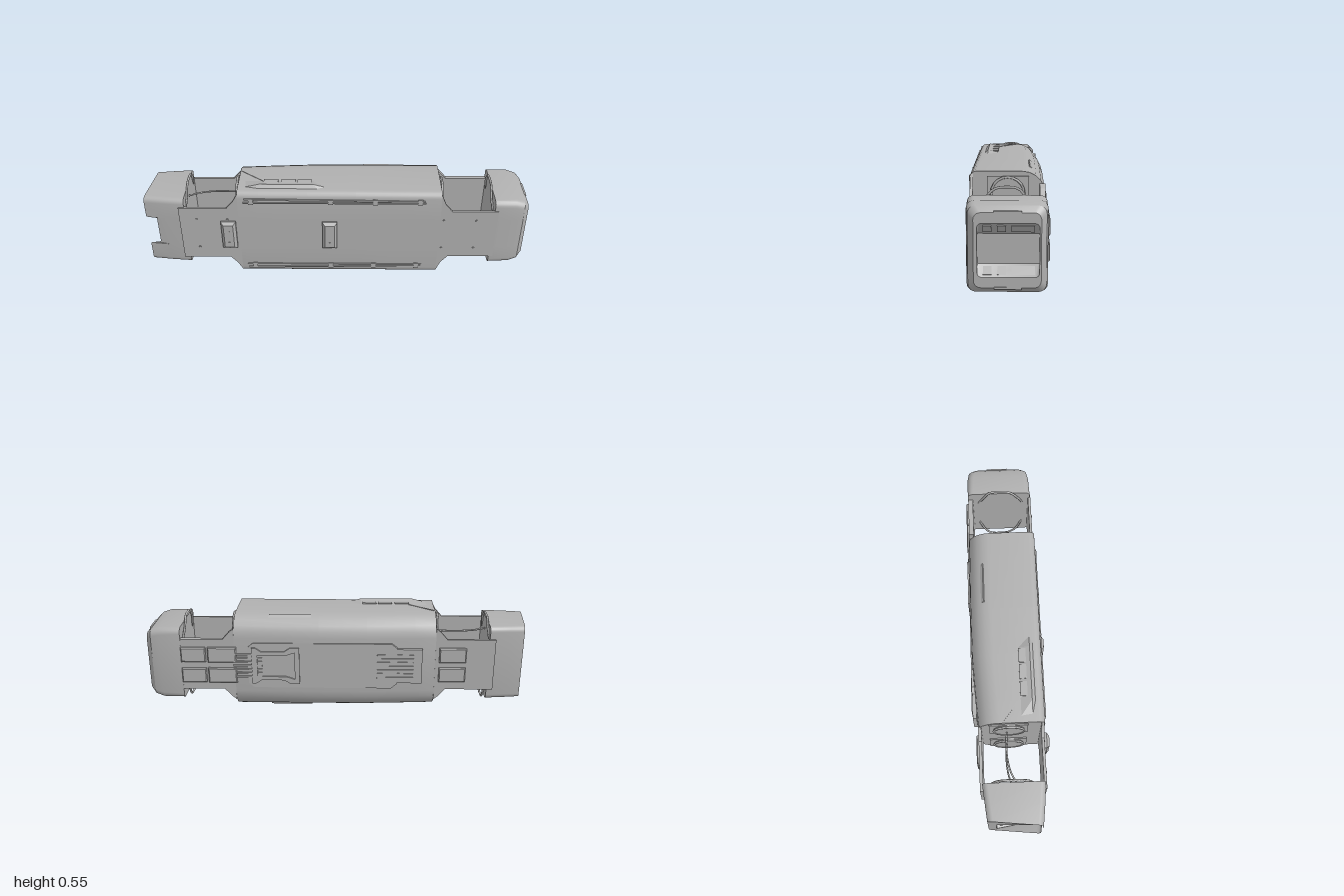
import * as THREE from 'three';
import { toCreasedNormals } from 'three/addons/utils/BufferGeometryUtils.js';

const grey = new THREE.MeshStandardMaterial({ color: 0xb0b0b0, side: THREE.DoubleSide });
grey.name = 'hull grey';
const MID = 0.274;

export function createModel() {
  const model = new THREE.Group();
  model.name = 'hull';
  model.position.y = MID;

  const add = (name, geometry, x = 0, y = 0, z = 0) => {
    const mesh = new THREE.Mesh(geometry, grey);
    mesh.name = name;
    mesh.position.set(x, y, z);
    model.add(mesh);
    return mesh;
  };
  const box = (name, w, h, d, x, y, z) => add(name, new THREE.BoxGeometry(w, h, d), x, y, z);

  // Rounded cross-section across the hull, with a split in its front edge
  const section = (x, h, zf, zb, rf, rb, split = 0.085) => {
    const pts = [];
    const corner = (cz, cy, r, a0) => {
      for (let i = 0; i <= 5; i++) {
        const a = a0 + (i / 5) * Math.PI / 2;
        pts.push([x, cy + r * Math.sin(a), cz + r * Math.cos(a)]);
      }
    };
    corner(zf - rf, h - rf, rf, 0);
    corner(zb + rb, h - rb, rb, Math.PI / 2);
    corner(zb + rb, rb - h, rb, Math.PI);
    corner(zf - rf, rf - h, rf, Math.PI * 1.5);
    for (const y of [-split - 0.001, -split, split, split + 0.001]) {
      pts.push([x, THREE.MathUtils.clamp(y, rf - h, h - rf), zf]);
    }
    return pts;
  };

  // Closed skin through a row of cross-sections
  const loft = (name, rings, crease = 0.5) => {
    const n = rings[0].length, pos = rings.flat(2), index = [];
    for (let i = 0; i < rings.length - 1; i++) {
      for (let j = 0; j < n; j++) {
        const a = i * n + j, b = i * n + (j + 1) % n;
        index.push(a, a + n, b, b, a + n, b + n);
      }
    }
    const total = rings.length * n;
    for (const ring of [rings[0], rings[rings.length - 1]]) {
      for (let k = 0; k < 3; k++) {
        const v = ring.map(p => p[k]);
        pos.push((Math.min(...v) + Math.max(...v)) / 2);
      }
    }
    for (let j = 0; j < n; j++) {
      const k = (j + 1) % n, last = total - n;
      index.push(total, j, k, total + 1, last + k, last + j);
    }
    const g = new THREE.BufferGeometry();
    g.setAttribute('position', new THREE.Float32BufferAttribute(pos, 3));
    g.setIndex(index);
    return add(name, toCreasedNormals(g, crease));
  };

  const outline = pts => new THREE.Shape(pts.map(p => new THREE.Vector2(...p)));
  const rect = (w, h) => outline([[-w, -h], [w, -h], [w, h], [-w, h]]);
  const slab = (shape, depth, bevel = 0) => new THREE.ExtrudeGeometry(shape, {
    depth, bevelEnabled: bevel > 0, bevelSize: bevel, bevelThickness: bevel, bevelSegments: 1, curveSegments: 8
  });

  // Main body, slightly deeper towards the +x end
  loft('mainBody', [[-0.51, -0.163], [-0.4, -0.172], [-0.15, -0.187], [0.1, -0.19], [0.54, -0.188]]
    .map(([x, zb]) => section(x, 0.258, 0.17, zb, 0.035, 0.11)));

  // End block at +x with a slope-sided recess
  loft('bluntEnd', [
    section(0.82, 0.198, 0.162, -0.187, 0.03, 0.03),
    section(0.93, 0.198, 0.158, -0.187, 0.035, 0.035),
    section(0.975, 0.185, 0.15, -0.18, 0.035, 0.035),
    section(1, 0.16, 0.125, -0.157, 0.03, 0.03),
    section(1, 0.115, 0.11, -0.15, 0.02, 0.02),
    section(0.965, 0.065, 0.11, -0.15, 0.005, 0.005)
  ]);
  for (const s of [-1, 1]) {
    box('endSlot', 0.012, 0.01, 0.115, 0.996, s * 0.162, -0.018);
    for (const [z, w] of [[0.068, 0.036], [0.008, 0.036], [-0.082, 0.096]]) {
      const pane = box('recessPane', 0.006, 0.038, w, 0.984, s * 0.09, z);
      pane.rotation.z = s * -0.61;
    }
  }

  // End block at -x: raked face, recess and a notch through the front wall
  const rake = ring => ring.map(([x, y, z]) => [x + (0.14 - z) * 0.11, y, z]);
  const end = rake(section(-1, 0.203, 0.138, -0.132, 0.028, 0.028));
  end[25][0] = end[26][0] = -0.945;
  const hole = rake(section(-1, 0.085, 0.138, -0.09, 0.008, 0.008))
    .map(([x, y, z]) => [z > 0.125 ? -0.945 : x, y, z]);
  loft('rakedEnd', [
    section(-0.944, 0.08, 0.137, -0.088, 0.008, 0.008), hole, end,
    section(-0.9, 0.204, 0.15, -0.14, 0.028, 0.028),
    section(-0.79, 0.204, 0.16, -0.152, 0.028, 0.028)
  ]);
  box('recessRib', 0.02, 0.15, 0.012, -0.952, 0, -0.01);
  for (const y of [-0.05, 0, 0.05]) {
    box('recessBlock', 0.02, 0.036, 0.05, -0.953, y, -0.048);
    box('recessBlock', 0.016, 0.02, 0.06, -0.951, y, 0.05);
  }

  // Thin flared plates joining the body to its end blocks
  const neck = (dir, x0, x1, h, flare) => {
    const pts = [[x0, flare], [x0 + dir * 0.025, h + 0.04], [x0 + dir * 0.06, h], [x1, h]];
    return outline([...pts, ...pts.map(([x, y]) => [x, -y]).reverse()]);
  };
  add('frontNeck', slab(neck(1, 0.54, 0.84, 0.146, 0.245), 0.014), 0, 0, 0.152);
  add('frontNeck', slab(neck(-1, -0.51, -0.82, 0.16, 0.245), 0.014), 0, 0, 0.152);
  add('backNeck', slab(neck(1, 0.54, 0.84, 0.14, 0.2), 0.026), 0, 0, -0.186);
  add('backNeck', slab(neck(-1, -0.51, -0.82, 0.14, 0.2), 0.016), 0, 0, -0.164);
  box('frontSkin', 0.16, 0.31, 0.005, -0.71, 0, 0.163);

  // Front fittings: two grips, bolts and long rails
  for (const x of [-0.565, -0.035]) {
    add('grip', slab(rect(0.025, 0.07), 0.012, 0.014), x, 0, 0.17);
    for (const y of [-0.04, 0.03]) box('gripStud', 0.01, 0.01, 0.004, x, y, 0.197);
  }
  for (const s of [-1, 1]) {
    for (const x of [-0.73, -0.57, 0.56, 0.73]) {
      const bolt = add('bolt', new THREE.CylinderGeometry(0.006, 0.006, 0.01, 8), x, s * 0.09, 0.167);
      bolt.rotation.x = Math.PI / 2;
    }
    box('rail', 0.94, 0.006, 0.008, -0.01, s * 0.2, 0.172);
    const strip = box('railStrip', 0.93, 0.009, 0.008, -0.01, s * 0.216, 0.172);
    strip.rotation.z = s * -0.012;
    for (const x of [-0.44, -0.03, 0.2, 0.43]) box('railClip', 0.025, 0.03, 0.01, x, s * 0.207, 0.172);

    // Shallow fairing along each side
    const hump = (x, top) => {
      const ring = [[x, 0.22, 0.165], [x, top, 0.11], [x, 0.257, 0.05], [x, 0.22, 0.05]];
      return s > 0 ? ring : ring.map(([a, b, c]) => [a, -b, c]).reverse();
    };
    loft('sideFairing', [hump(-0.48, 0.255), hump(-0.4, 0.274), hump(-0.12, 0.274), hump(-0.05, 0.255)], 0.2);
    for (const x of [-0.34, -0.25, -0.165]) box('sideVent', 0.075, 0.006, 0.045, x, s * 0.265, 0.075);
    const seam = box('sideSeam', 0.16, 0.005, 0.006, -0.44, s * 0.258, 0.008);
    seam.rotation.y = -0.67;
    box('sidePanel', 0.22, 0.012, 0.06, 0.25, s * 0.232, -0.133).rotation.x = s * -0.8;

    // Round ports and panels on the body's end walls
    for (const [x, d] of [[0.54, 1], [-0.51, -1]]) {
      const port = add('port', new THREE.CylinderGeometry(0.075, 0.08, 0.02, 20), x + d * 0.008, s * 0.155, -0.01);
      port.rotation.z = -d * Math.PI / 2;
      const rim = add('portRim', new THREE.TorusGeometry(0.077, 0.006, 6, 20), x + d * 0.016, s * 0.155, -0.01);
      rim.rotation.y = Math.PI / 2;
      box('portPanel', 0.008, 0.16, 0.195, x + d * 0.003, s * 0.155, -0.012);
    }

    // Hoops around the inner walls of the end blocks
    for (const x of [-0.785, 0.81]) {
      const arch = [[0.12, 0.1], [0.09, 0.17], [0.045, 0.222], [-0.01, 0.232], [-0.065, 0.222], [-0.1, 0.17], [-0.13, 0.1]];
      const curve = new THREE.CatmullRomCurve3(arch.map(([z, y]) =>
        new THREE.Vector3(x + Math.sign(x) * Math.max(0, 0.17 - y) * 0.2, s * y, z)));
      add('hoop', new THREE.TubeGeometry(curve, 24, 0.006, 6));
    }
    // Cable crossing the open bay
    const cable = new THREE.CatmullRomCurve3([[-0.79, 0.02], [-0.72, -0.012], [-0.63, -0.026], [-0.51, -0.02]]
      .map(([x, z]) => new THREE.Vector3(x, s * 0.14, z)));
    add('cable', new THREE.TubeGeometry(cable, 16, 0.005, 6));

    // Back hatches, in pairs
    add('backHatch', slab(rect(0.06, 0.035), 0.008, 0.005), 0.755, s * 0.058, -0.195);
    add('backHatch', slab(rect(0.07, 0.037), 0.01, 0.005), 0.605, s * 0.058, -0.195);
    add('backHatch', slab(rect(0.065, 0.035), 0.008, 0.005), -0.6, s * 0.055, -0.172);
  }

  // Back cover, slatted vents and latch frame
  const cover = outline([[-0.28, -0.125], [0.44, -0.125], [0.47, -0.1], [0.47, 0.1], [0.44, 0.125], [-0.28, 0.125], [-0.31, 0.1], [-0.31, -0.1]]);
  add('backCover', slab(cover, 0.02), 0, 0, -0.194);
  box('ventBase', 0.26, 0.19, 0.02, -0.31, 0, -0.182);
  for (let i = 0; i < 7; i++) {
    const y = (i - 3) * 0.021;
    box('ventSlat', 0.19, 0.008, 0.008, -0.3, y, -0.194);
    box('ventSlat', 0.15, 0.008, 0.008, 0.47, y, -0.195);
  }
  const frame = outline([[0.2, -0.1], [0.25, -0.1], [0.28, -0.08], [0.4, -0.08], [0.43, -0.1], [0.45, -0.1],
    [0.45, 0.1], [0.43, 0.1], [0.4, 0.08], [0.28, 0.08], [0.25, 0.1], [0.2, 0.1]]);
  frame.holes.push(outline([[0.225, -0.075], [0.225, 0.075], [0.27, 0.06], [0.42, 0.06], [0.42, -0.06], [0.27, -0.06]]));
  add('latchFrame', slab(frame, 0.012), 0, 0, -0.202);

  return model;
}
